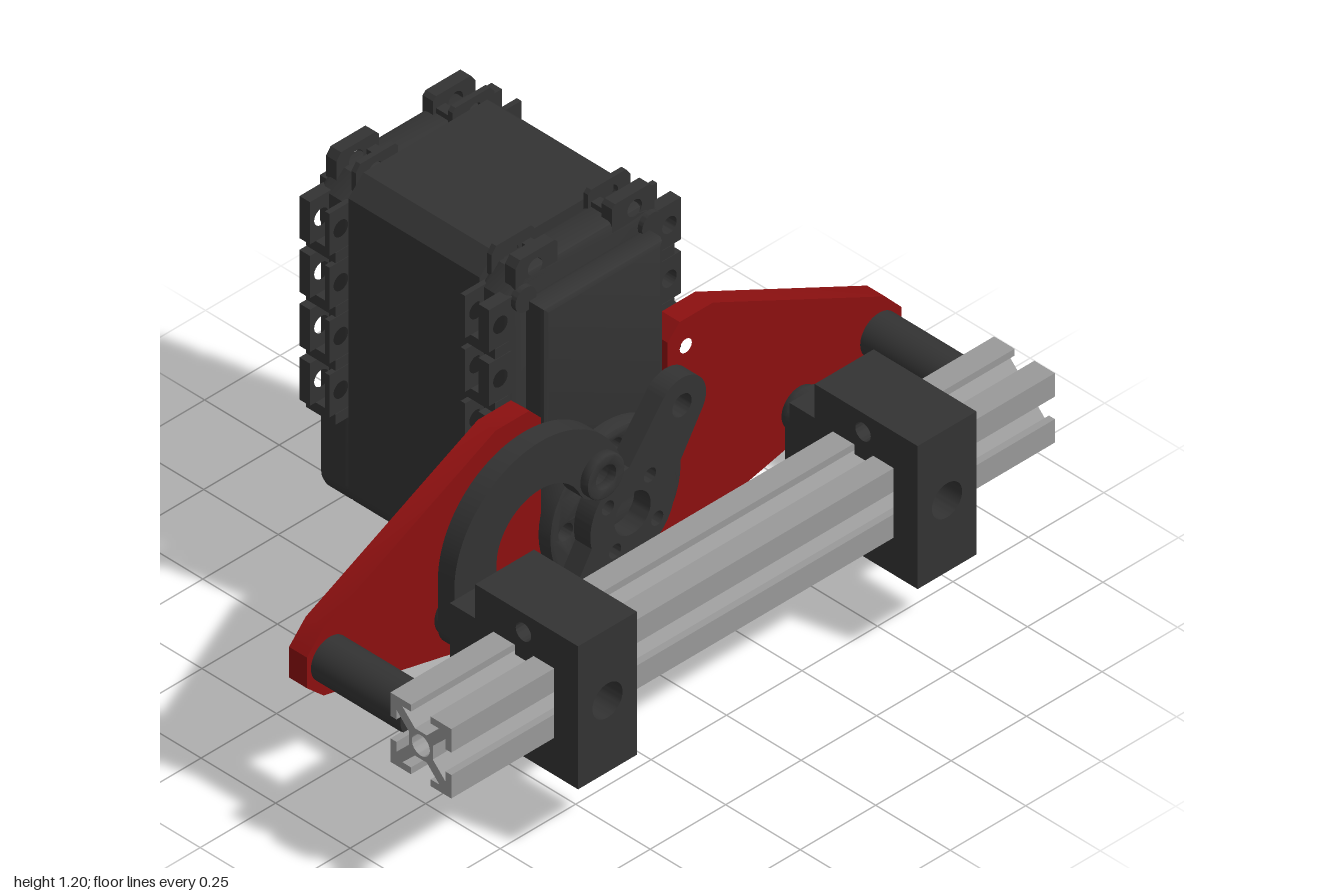
import * as THREE from 'three';
import { toCreasedNormals } from 'three/addons/utils/BufferGeometryUtils.js';

const dark = new THREE.MeshStandardMaterial({ color: 0x333333 });
const red = new THREE.MeshStandardMaterial({ color: 0x8c1010 });
const grey = new THREE.MeshStandardMaterial({ color: 0x999999 });
const AXIS = 0.43; // height of the output shaft and the rail

function add(parent, name, geo, mat = dark) {
  const m = new THREE.Mesh(geo, mat);
  m.name = name;
  parent.add(m);
  return m;
}
const poly = (pts) => new THREE.Shape(pts.map((p) => new THREE.Vector2(p[0], p[1])));
const rect = (x0, y0, x1, y1) => poly([[x0, y0], [x1, y0], [x1, y1], [x0, y1]]);
const disc = (x, y, r) => new THREE.Shape().absarc(x, y, r, 0, Math.PI * 2);
function drill(shape, ...holes) {
  for (const [x, y, r] of holes) shape.holes.push(new THREE.Path().absarc(x, y, r, 0, Math.PI * 2, true));
  return shape;
}
function extrude(shape, depth, bevel = 0) {
  return toCreasedNormals(new THREE.ExtrudeGeometry(shape, {
    depth: depth - 2 * bevel, curveSegments: 24, bevelEnabled: bevel > 0,
    bevelSize: bevel, bevelThickness: bevel, bevelOffset: -bevel, bevelSegments: 2,
  }).translate(0, 0, bevel), 0.5);
}
// Extrude along x from x0 to x1; the shape is drawn in (-z, y)
const slabX = (shape, x0, x1, bevel = 0) =>
  extrude(shape, x1 - x0, bevel).rotateY(Math.PI / 2).translate(x0, 0, 0);
const slabZ = (shape, z0, z1) => extrude(shape, z1 - z0).translate(0, 0, z0);
const box = (x0, x1, y0, y1, z0, z1) => new THREE.BoxGeometry(x1 - x0, y1 - y0, z1 - z0)
  .translate((x0 + x1) / 2, (y0 + y1) / 2, (z0 + z1) / 2);

// Cross-section of the motor housing: rounded bottom, stepped top corners
function housing(w, bottom, top) {
  const s = new THREE.Shape(), r = 0.07;
  s.moveTo(-w + r, bottom);
  s.lineTo(w - r, bottom);
  s.absarc(w - r, bottom + r, r, -Math.PI / 2, 0);
  s.lineTo(w, top - 0.05);
  s.lineTo(w - 0.05, top);
  s.lineTo(-w + 0.05, top);
  s.lineTo(-w, top - 0.05);
  s.absarc(-w + r, bottom + r, r, Math.PI, Math.PI * 1.5);
  return s;
}

function buildMotor() {
  const g = new THREE.Group();
  g.name = 'servoMotor';
  add(g, 'housing', slabX(housing(0.255, 0.2, 1.17), -0.51, -0.07));
  add(g, 'rearCase', slabX(housing(0.255, 0.2, 1.15), -0.61, -0.51, 0.015));
  add(g, 'frontCase', slabX(housing(0.255, 0.2, 1.15), -0.07, 0.025, 0.015));
  add(g, 'frontCover', slabX(rect(-0.2, 0.6, 0.2, 1.08), 0.02, 0.09, 0.015));
  for (const u of [-0.21, 0.21]) add(g, 'coverScrew', slabX(disc(u, 1.09, 0.035), 0.02, 0.04));

  // Mounting lugs: two thin ears per lug with a nut pocket between them
  for (const [outer, inner] of [[-0.61, -0.51], [0.025, -0.07]]) {
    const d = Math.sign(inner - outer);
    const ears = [[outer, outer + d * 0.035], [inner - d * 0.015, inner]];
    for (const s of [-1, 1]) {
      for (let i = 0; i < 4; i++) {
        const y = 1.045 - i * 0.158;
        for (const [a, b] of ears) {
          const lug = poly([[0.24, y - 0.062], [0.318, y - 0.062], [0.318, y + 0.062], [0.24, y + 0.062]]
            .map(([u, v]) => [u * s, v]));
          drill(lug, [0.28 * s, y, 0.024]);
          add(g, 'sideLug', slabX(lug, Math.min(a, b), Math.max(a, b)));
        }
        add(g, 'lugStep', box(Math.min(outer, inner), Math.max(outer, inner), y - 0.094, y - 0.064,
          s * 0.275 - 0.022, s * 0.275 + 0.022));
      }
      for (const [a, b] of ears) {
        const lug = drill(poly([[0.09, 1.12], [0.23, 1.12], [0.23, 1.18], [0.215, 1.2], [0.1, 1.2], [0.09, 1.19]]
          .map(([u, v]) => [u * s, v])), [0.165 * s, 1.155, 0.024]);
        add(g, 'topLug', slabX(lug, Math.min(a, b), Math.max(a, b)));
      }
      add(g, 'topLugStep', box(Math.min(outer, inner), Math.max(outer, inner), 1.12, 1.165,
        Math.min(s * 0.1, s * 0.13), Math.max(s * 0.1, s * 0.13)));
    }
  }

  // Rear bearing hub, plugs and cable sockets
  add(g, 'rearHub', slabX(drill(disc(0, AXIS, 0.11), [0, AXIS, 0.055]), -0.67, -0.6, 0.012));
  add(g, 'rearShaft', slabX(drill(disc(0, AXIS, 0.056), [0, AXIS, 0.02]), -0.645, -0.6));
  for (const s of [-1, 1]) {
    add(g, 'rearPlug', slabX(rect(s * 0.135 - 0.065, 0.94, s * 0.135 + 0.065, 1.08), -0.67, -0.6, 0.015));
    const socket = rect(s * 0.1 - 0.09, 0.7, s * 0.1 + 0.09, 0.84);
    socket.holes.push(rect(s * 0.1 - 0.075, 0.715, s * 0.1 + 0.075, 0.825));
    add(g, 'cableSocket', slabX(socket, -0.625, -0.6));
    for (const y of [0.27, 0.6]) add(g, 'caseScrew', slabX(disc(s * 0.2, y, 0.022), -0.616, -0.6));
  }
  return g;
}

function buildPlate() {
  const half = [[0.25, 0.81], [0.36, 0.81], [0.93, 0.53], [0.985, 0.47], [0.985, 0.38], [0.93, 0.33],
    [0.25, 0.17], [0.18, 0.165], [0.1, 0.14]];
  const s = new THREE.Shape();
  // U-shaped notch for the motor's front
  s.moveTo(-0.21, 0.77);
  s.lineTo(-0.21, AXIS);
  s.absarc(0, AXIS, 0.21, Math.PI, Math.PI * 2);
  s.lineTo(0.21, 0.77);
  half.forEach(([u, v]) => s.lineTo(u, v));
  s.lineTo(0, 0.13);
  half.slice().reverse().forEach(([u, v]) => s.lineTo(-u, v));
  for (const k of [-1, 1]) drill(s, [k * 0.27, 0.57, 0.02], [k * 0.27, 0.73, 0.02], [k * 0.91, AXIS, 0.035]);
  return slabX(s, 0.03, 0.09);
}

// Curved link; heights are relative to the shaft axis
function buildArm() {
  const g = new THREE.Group();
  g.name = 'curvedArm';
  const cu = -0.36, cv = 0.142, a = 0.44, r = 0.215, w = 0.07;
  const pu = cu + r * Math.cos(a), pv = cv + r * Math.sin(a);
  const s = new THREE.Shape();
  s.absarc(cu, cv, r + w, a, Math.PI);
  s.absarc(cu - r, 0, w, Math.PI, Math.PI * 2);
  s.absarc(cu, cv, r - w, Math.PI, a, true);
  s.absarc(pu, pv, w, a + Math.PI, a + Math.PI * 2);
  drill(s, [pu, pv, 0.032]);
  add(g, 'armLink', slabX(s, 0.185, 0.24));
  add(g, 'innerPivot', slabX(drill(disc(pu, pv, 0.062), [pu, pv, 0.032]), 0.235, 0.265, 0.005));
  add(g, 'outerPivot', slabX(disc(cu - r, 0, 0.06), 0.16, 0.19, 0.005));
  return g;
}

function buildHorn() {
  const g = new THREE.Group();
  g.name = 'servoHorn';
  const holes = [];
  for (let i = 0; i < 8; i++) holes.push([0.165 * Math.cos(i * Math.PI / 4), 0.165 * Math.sin(i * Math.PI / 4), 0.022]);
  add(g, 'hornDisc', slabX(drill(disc(0, 0, 0.218), ...holes), 0.02, 0.13, 0.008));
  // Two-ended lever in line with the arm pivots
  const s = new THREE.Shape(), e = 0.283, r = 0.08;
  s.absarc(e, 0, r, -Math.PI / 2, Math.PI / 2);
  s.lineTo(0.11, 0.09);
  s.absarc(0, 0, 0.14, 0.7, Math.PI - 0.7);
  s.absarc(-e, 0, r, Math.PI / 2, Math.PI * 1.5);
  s.absarc(0, 0, 0.14, Math.PI + 0.7, Math.PI * 2 - 0.7);
  drill(s, [e, 0, 0.032], [-e, 0, 0.032], [0, 0, 0.06], [0.1, 0, 0.02], [-0.1, 0, 0.02], [0, 0.1, 0.02], [0, -0.1, 0.02]);
  add(g, 'hornLever', slabX(s, 0.13, 0.185)).rotation.x = Math.atan2(0.233, 0.165);
  g.position.y = AXIS;
  return g;
}

// Slotted square rail
function buildRail() {
  const h = 0.102, side = [[h, -h], [h, -0.033], [h - 0.02, -0.033], [h - 0.02, -0.062], [0.04, -0.02],
    [0.04, 0.02], [h - 0.02, 0.062], [h - 0.02, 0.033], [h, 0.033]];
  const pts = [];
  for (let k = 0; k < 4; k++) {
    const c = Math.round(Math.cos(k * Math.PI / 2)), n = Math.round(Math.sin(k * Math.PI / 2));
    side.forEach(([x, y]) => pts.push([x * c - y * n, x * n + y * c]));
  }
  return slabZ(drill(poly(pts), [0, 0, 0.03]), -1, 1).translate(0.487, AXIS, 0);
}

function buildClamp(z0, z1) {
  const g = new THREE.Group();
  g.name = 'railClamp';
  // C-shaped body with a neck towards the arm, closed by a drilled outer wall
  const s = poly([[0.24, 0.32], [0.325, 0.32], [0.325, 0.22], [0.59, 0.22], [0.59, 0.327], [0.384, 0.327],
    [0.384, 0.533], [0.59, 0.533], [0.59, 0.64], [0.325, 0.64], [0.325, 0.54], [0.24, 0.54]]);
  drill(s, [0.487, 0.585, 0.026], [0.487, 0.275, 0.026]);
  add(g, 'clampBody', slabZ(s, z0, z1));
  add(g, 'outerWall', slabX(drill(rect(-z1, 0.22, -z0, 0.64), [-(z0 + z1) / 2, AXIS, 0.05]), 0.59, 0.67));
  // Keys that sit in the rail slots
  add(g, 'topKey', box(0.458, 0.516, 0.505, 0.535, z0, z1));
  add(g, 'bottomKey', box(0.458, 0.516, 0.325, 0.355, z0, z1));
  add(g, 'innerKey', box(0.382, 0.41, AXIS - 0.03, AXIS + 0.03, z0, z1));
  return g;
}

export function createModel() {
  const model = new THREE.Group();
  model.name = 'servoGripper';
  model.add(buildMotor(), buildHorn());
  add(model, 'mountingPlate', buildPlate(), red);
  add(model, 'rail', buildRail(), grey);
  for (const s of [-1, 1]) {
    add(model, 'standoff', slabX(disc(s * 0.91, AXIS, 0.062), 0.088, 0.39));
    const arm = buildArm();
    arm.position.y = AXIS;
    if (s < 0) arm.rotation.x = Math.PI;
    model.add(arm, s > 0 ? buildClamp(0.465, 0.66) : buildClamp(-0.66, -0.465));
  }
  return model;
}
